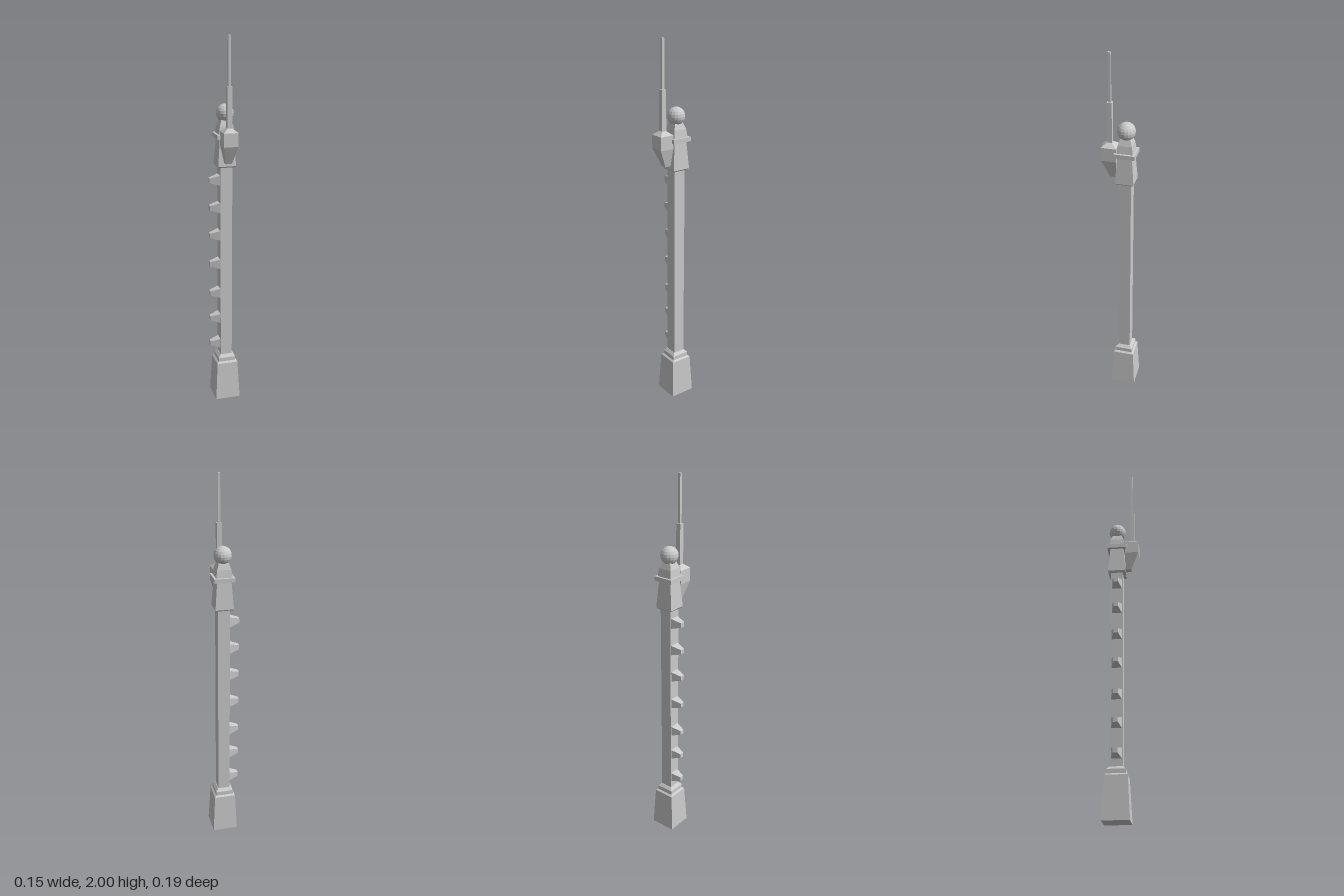
import * as THREE from 'three';

const material = new THREE.MeshStandardMaterial({ color: 0xcccccc, flatShading: true });
const POLE = { x: 0.007, z: -0.027 };

// Four-sided stack from [half width, height] pairs, bottom to top, with closed ends.
function squareStack(profile) {
  const ends = [[0, profile[0][1]], ...profile, [0, profile[profile.length - 1][1]]];
  const points = ends.map(([half, y]) => new THREE.Vector2(half * Math.SQRT2, y));
  return new THREE.LatheGeometry(points, 4, Math.PI / 4);
}

function add(parent, name, geometry, x = 0, y = 0, z = 0) {
  const mesh = new THREE.Mesh(geometry, material);
  mesh.name = name;
  mesh.position.set(x, y, z);
  parent.add(mesh);
  return mesh;
}

export function createModel() {
  const model = new THREE.Group();
  model.name = 'antennaPost';

  const pole = new THREE.Group();
  pole.name = 'pole';
  pole.position.set(POLE.x, 0, POLE.z);
  model.add(pole);

  // Tapered foot with a stepped top
  add(pole, 'base', squareStack([[0.069, 0], [0.058, 0.217], [0.048, 0.225]]));
  add(pole, 'baseStep', squareStack([[0.048, 0.22], [0.048, 0.247], [0.034, 0.262]]));

  add(pole, 'shaft', squareStack([[0.032, 0.25], [0.032, 1.35]]));

  // Head: flared skirt, collar, shoulders and ball
  add(pole, 'headSkirt', squareStack([[0.042, 1.338], [0.048, 1.345], [0.036, 1.495]]));
  add(pole, 'collar', squareStack([[0.053, 1.488], [0.053, 1.51]]));
  add(pole, 'shoulders', squareStack([[0.042, 1.505], [0.036, 1.55], [0.025, 1.582]]));
  add(pole, 'ball', new THREE.SphereGeometry(0.046, 16, 10), 0, 1.615, 0);

  // Climbing pegs up the right side
  const pegs = new THREE.Group();
  pegs.name = 'climbingPegs';
  model.add(pegs);
  for (const y of [0.328, 0.482, 0.632, 0.803, 0.965, 1.118, 1.267]) {
    const peg = add(pegs, 'peg', squareStack([[0.027, 0], [0.012, 0.053]]), -0.025, y, POLE.z);
    peg.rotation.z = Math.PI / 2;
  }

  // Equipment box on the front, its foot narrowing back towards the pole
  const aerial = new THREE.Group();
  aerial.name = 'aerial';
  aerial.position.set(POLE.x, 0, 0.055);
  model.add(aerial);
  const box = squareStack([[0.016, 1.365], [0.038, 1.46], [0.038, 1.53], [0.0125, 1.55]]);
  const position = box.attributes.position;
  for (let i = 0; i < position.count; i++) {
    if (position.getY(i) < 1.4) position.setZ(i, position.getZ(i) - 0.02);
  }
  box.computeVertexNormals();
  add(aerial, 'equipmentBox', box);

  // Two-stage rod
  add(aerial, 'lowerRod', squareStack([[0.0125, 1.54], [0.0125, 1.757]]));
  add(aerial, 'upperRod', squareStack([[0.0065, 1.75], [0.0065, 2]]));

  return model;
}
